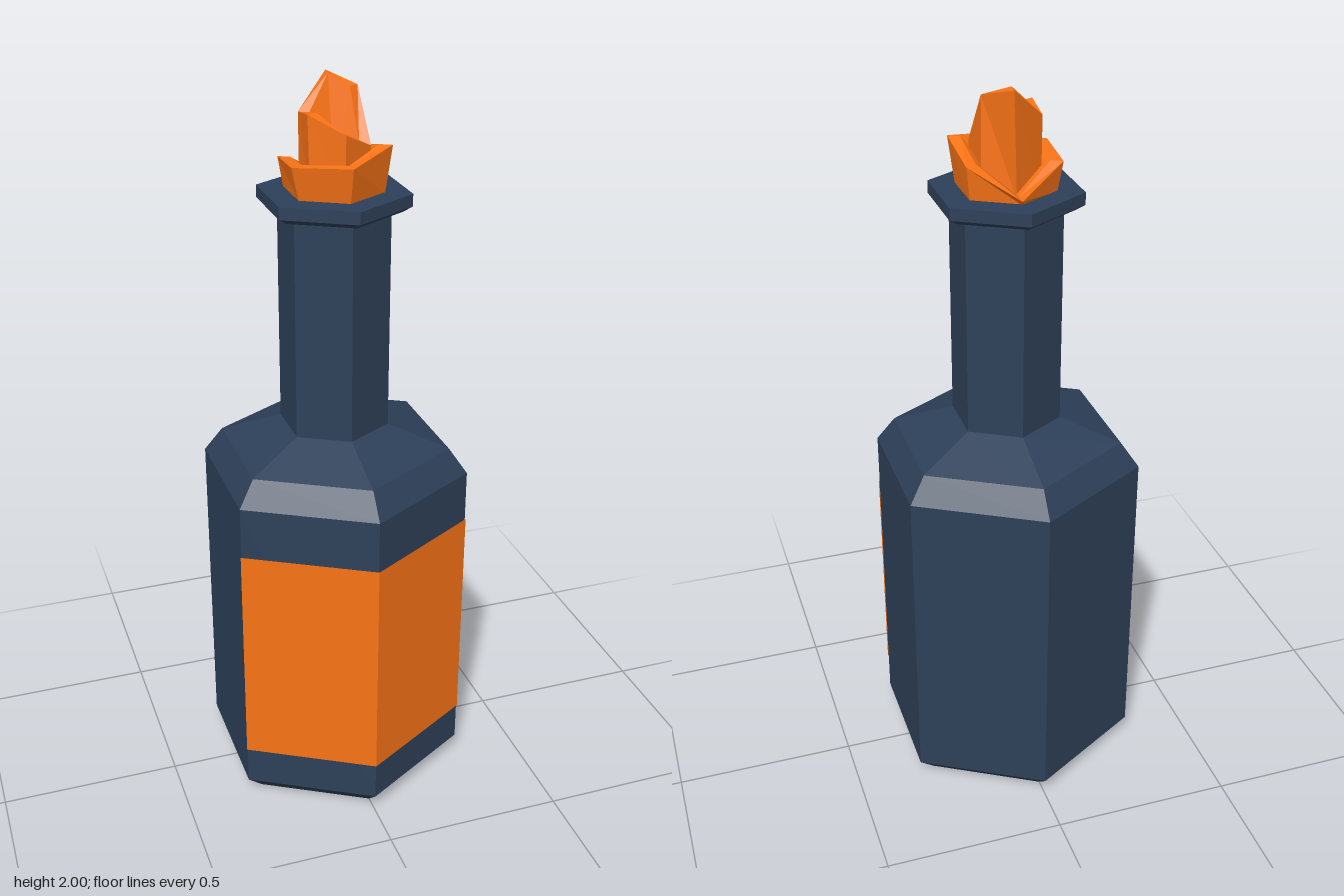
import * as THREE from 'three';

const SIDES = 6;
const glass = new THREE.MeshStandardMaterial({ color: 0x2d4059, flatShading: true });
const orange = new THREE.MeshStandardMaterial({ color: 0xf97316, flatShading: true, side: THREE.DoubleSide });

// Six-sided turned shape from [radius, y] pairs; one corner points to +z
function turned(name, profile, material, segments = SIDES, start = 0, sweep = Math.PI * 2) {
  const points = profile.map(([r, y]) => new THREE.Vector2(r, y));
  const geometry = new THREE.LatheGeometry(points, segments, start, sweep).toNonIndexed();
  geometry.computeVertexNormals();
  const mesh = new THREE.Mesh(geometry, material);
  mesh.name = name;
  return mesh;
}

// Ragged thick-walled cup: outer wall, rim, inner funnel. The rim lists one [x, y, z] per corner.
function raggedCup(name, baseRadius, baseY, floorY, inset, rim) {
  const profile = [[baseRadius, baseY], [1, 1], [1, 1], [0, floorY]].map(([r, y]) => new THREE.Vector2(r, y));
  const lathe = new THREE.LatheGeometry(profile, SIDES);
  const pos = lathe.attributes.position;
  for (let i = 0; i <= SIDES; i++) {
    const [x, y, z] = rim[i % SIDES];
    pos.setXYZ(i * 4 + 1, x, y, z);
    pos.setXYZ(i * 4 + 2, x * inset, y, z * inset);
  }
  const geometry = lathe.toNonIndexed();
  geometry.computeVertexNormals();
  const mesh = new THREE.Mesh(geometry, orange);
  mesh.name = name;
  return mesh;
}

export function createModel() {
  const model = new THREE.Group();
  model.name = 'bottle';

  // Body with chamfered foot, sloped shoulder and neck
  model.add(turned('bottleBody', [
    [0, 0], [0.32, 0], [0.372, 0.05], [0.372, 0.945],
    [0.32, 1.015], [0.15, 1.075], [0.15, 1.69],
  ], glass));

  // Flared lip, closed on top
  model.add(turned('lip', [[0.15, 1.672], [0.18, 1.675], [0.204, 1.69], [0.204, 1.723], [0, 1.723]], glass));

  // Label wrapped over the two front faces
  model.add(turned('label', [[0.3745, 0.16], [0.3745, 0.8]], orange, 2, -Math.PI / 3, Math.PI * 2 / 3));

  // Burning cloth: low outer collar and tall inner flame
  model.add(raggedCup('outerFlame', 0.132, 1.72, 1.73, 0.77, [
    [0, 1.815, 0.153], [0.13, 1.845, 0.075], [0.124, 1.81, -0.075],
    [0.004, 1.735, -0.147], [-0.126, 1.8, -0.075], [-0.135, 1.81, 0.075],
  ]));
  model.add(raggedCup('innerFlame', 0.09, 1.72, 1.76, 0.68, [
    [0, 1.883, 0.096], [0.083, 1.84, 0.045], [0.075, 1.975, -0.037],
    [0.015, 2.0, -0.112], [-0.078, 1.915, -0.05], [-0.083, 1.93, 0.045],
  ]));

  return model;
}
